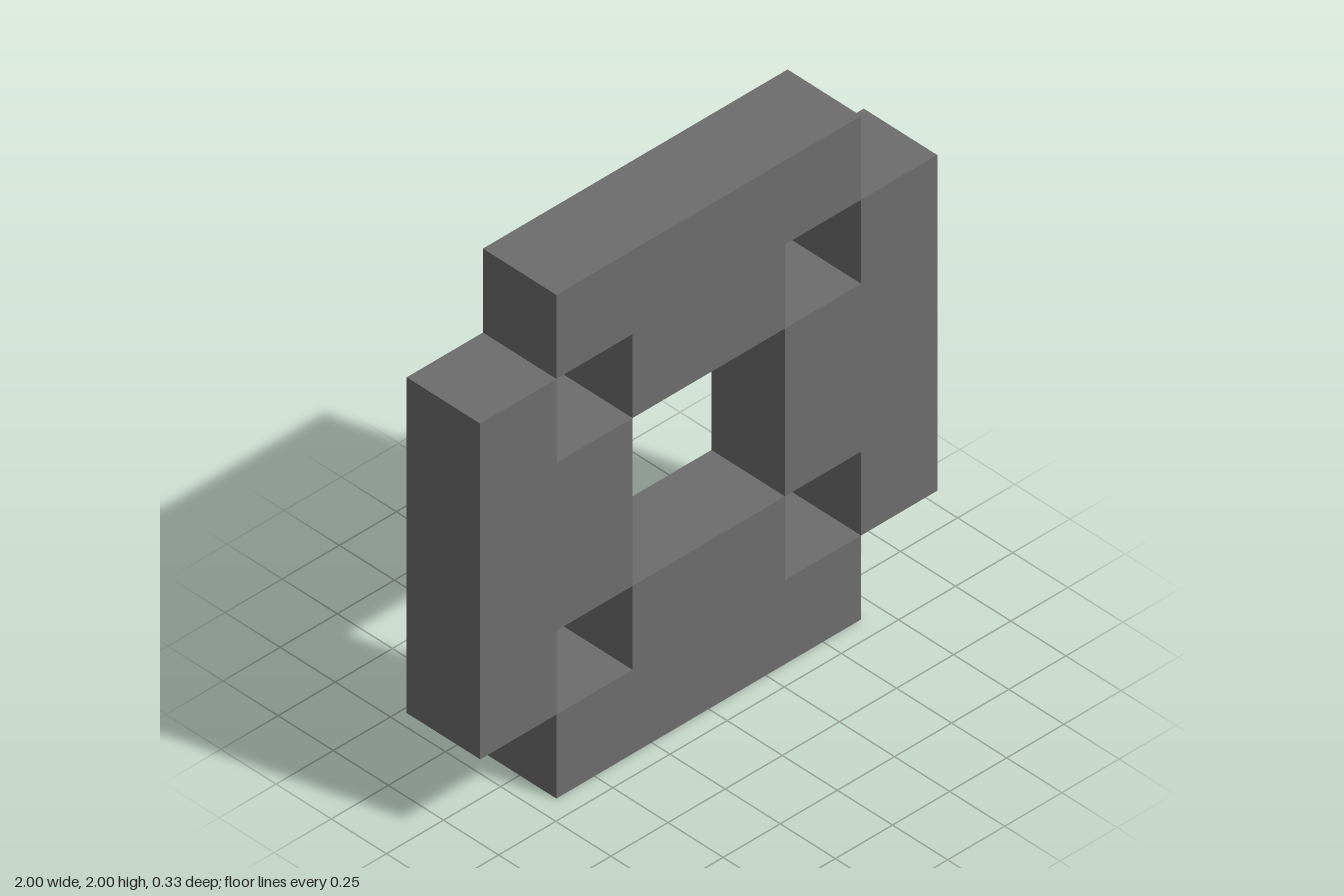
import * as THREE from 'three';

const U = 1 / 3; // side of one square cell

export function createModel() {
  const group = new THREE.Group();
  group.name = 'pixelRing';
  const grey = new THREE.MeshStandardMaterial({ color: 0x6d6d6d });
  grey.name = 'grey';

  // T-shaped block: wide outer bar with a stem pointing at the centre
  const outline = [[-2, -3], [2, -3], [2, -2], [1, -2], [1, -1], [-1, -1], [-1, -2], [-2, -2]];
  const shape = new THREE.Shape(outline.map(([x, y]) => new THREE.Vector2(x * U, y * U)));
  const geometry = new THREE.ExtrudeGeometry(shape, { depth: U, bevelEnabled: false });
  geometry.translate(0, 0, -U / 2);

  // Four blocks turned around the central opening
  ['bottomBlock', 'leftBlock', 'topBlock', 'rightBlock'].forEach((name, i) => {
    const block = new THREE.Mesh(geometry, grey);
    block.name = name;
    block.position.y = 1;
    block.rotation.z = i * Math.PI / 2;
    group.add(block);
  });
  return group;
}
